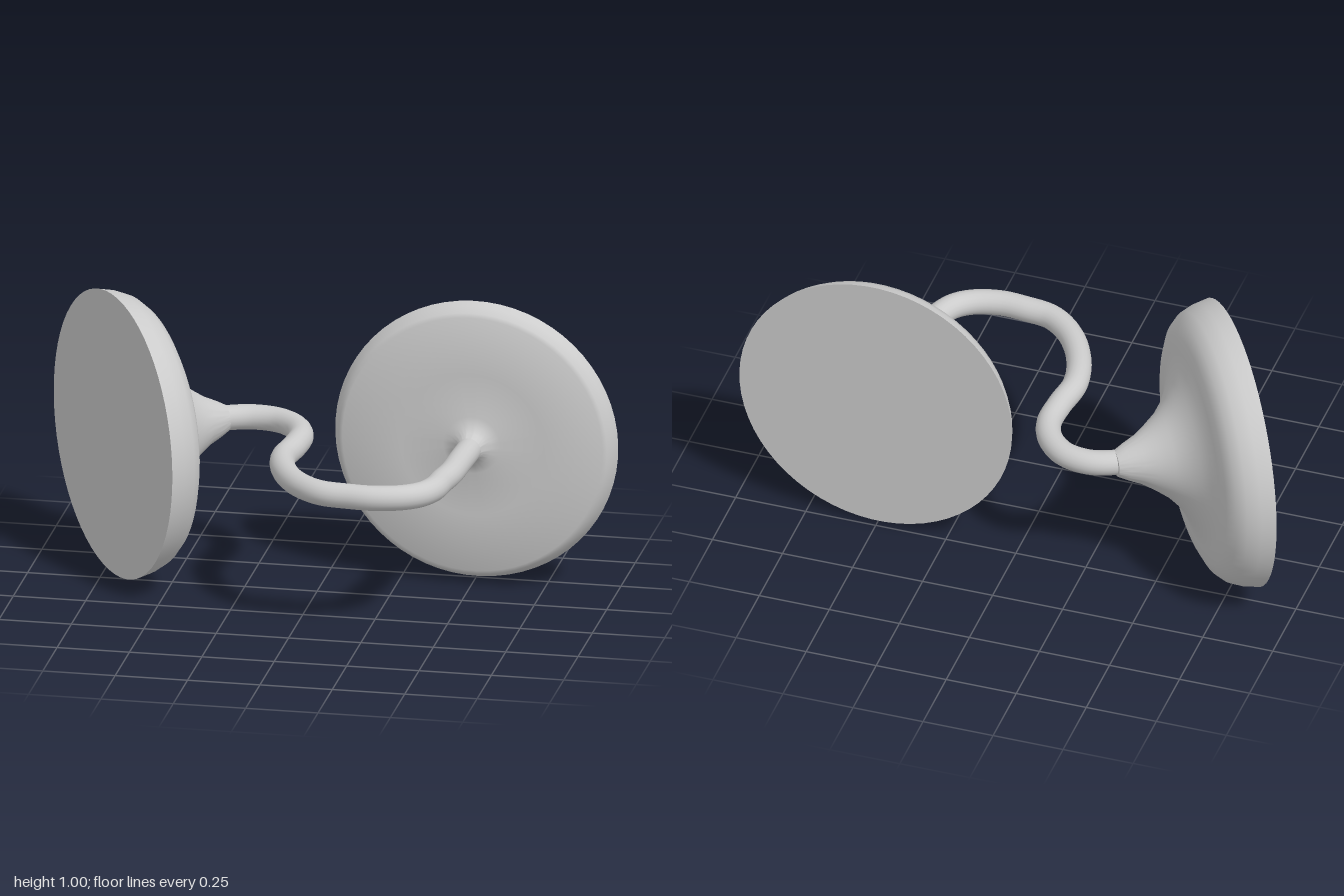
import * as THREE from 'three';
import { toCreasedNormals } from 'three/addons/utils/BufferGeometryUtils.js';

const MID_Y = 0.505;
const material = new THREE.MeshStandardMaterial({ color: 0xcccccc });

// Round part turned from a [radius, height] profile, its axis laid along `direction`
function turnedPart(name, profile, position, direction) {
  const points = profile.map(([r, h]) => new THREE.Vector2(r, h));
  const geometry = toCreasedNormals(new THREE.LatheGeometry(points, 64), 0.6);
  const mesh = new THREE.Mesh(geometry, material);
  mesh.name = name;
  mesh.position.set(...position);
  mesh.quaternion.setFromUnitVectors(
    new THREE.Vector3(0, 1, 0),
    new THREE.Vector3(...direction).normalize()
  );
  return mesh;
}

export function createModel() {
  const group = new THREE.Group();
  group.name = 'twoDiscsOnBentRod';

  // Thick disc whose back sweeps up into a slender neck
  group.add(turnedPart('flaredDisc', [
    [0, 0], [0.498, 0], [0.487, 0.05], [0.468, 0.095], [0.44, 0.125],
    [0.395, 0.147], [0.34, 0.153], [0.29, 0.165], [0.24, 0.185],
    [0.19, 0.215], [0.15, 0.25], [0.115, 0.295], [0.085, 0.34],
    [0.064, 0.385], [0.045, 0.42], [0, 0.43],
  ], [-0.715, MID_Y - 0.002, -0.052], [0.819, 0, -0.573]));

  // Thin flat disc with a bevelled rim and a small fillet around the rod
  group.add(turnedPart('flatDisc', [
    [0, 0], [0.492, 0], [0.482, 0.03], [0.466, 0.058], [0.452, 0.066],
    [0.25, 0.07], [0.1, 0.073], [0.07, 0.082], [0.05, 0.1], [0.04, 0.125],
    [0, 0.13],
  ], [0.505, MID_Y + 0.002, -0.235], [-0.03, 0, 1]));

  // S-shaped rod joining the two discs, drawn as [x, z] at mid height
  const path = [
    [-0.43, -0.245], [-0.36, -0.292], [-0.28, -0.315], [-0.19, -0.298],
    [-0.12, -0.235], [-0.085, -0.15], [-0.086, -0.04], [-0.1, 0.08],
    [-0.08, 0.19], [-0.03, 0.3], [0.03, 0.375], [0.1, 0.423], [0.19, 0.438],
    [0.28, 0.443], [0.37, 0.42], [0.43, 0.375], [0.462, 0.31],
    [0.473, 0.23], [0.488, 0.14], [0.495, 0], [0.5, -0.1], [0.502, -0.19],
  ].map(([x, z]) => new THREE.Vector3(x, MID_Y, z));
  const rod = new THREE.Mesh(
    new THREE.TubeGeometry(new THREE.CatmullRomCurve3(path), 120, 0.043, 20),
    material
  );
  rod.name = 'bentRod';
  group.add(rod);

  return group;
}
